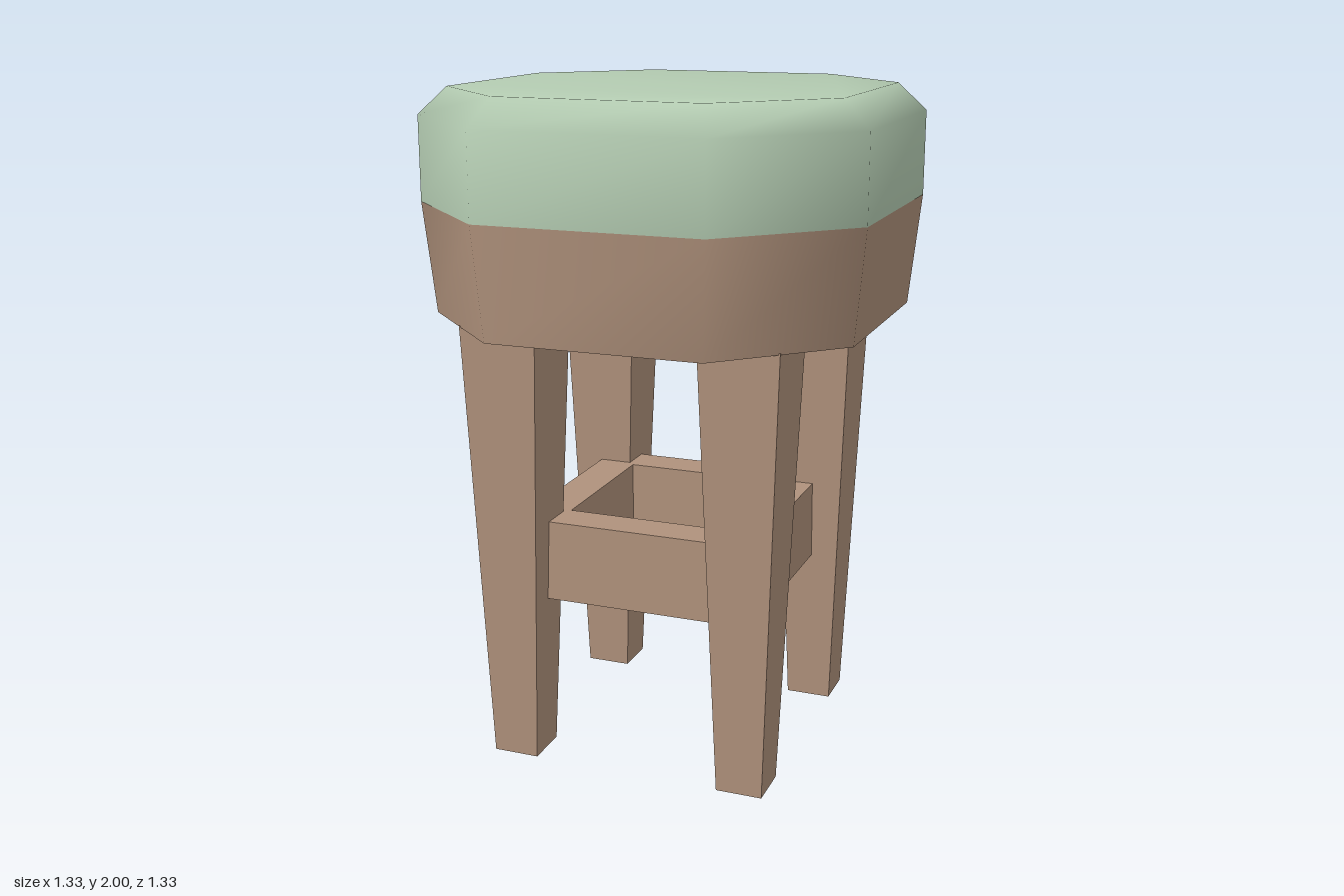
import * as THREE from 'three';

const wood = new THREE.MeshStandardMaterial({ name: 'brown wood', color: 0xb0927c });
const fabric = new THREE.MeshStandardMaterial({ name: 'sage fabric', color: 0xb4ccb2 });

// Octagonal ring: flat sides at distance r, corners offset by c along each side
const ring = (r, c, y) => [[r, c], [c, r], [-c, r], [-r, c], [-r, -c], [-c, -r], [c, -r], [r, -c]]
  .map(([x, z]) => [x, y, z]);

// Smooth-sided solid through octagonal rings listed bottom to top
function loft(rings, capTop) {
  const index = [];
  for (let k = 0; k < rings.length - 1; k++) {
    for (let i = 0; i < 8; i++) {
      const a = k * 8 + i, b = k * 8 + (i + 1) % 8;
      index.push(a, a + 8, b, b, a + 8, b + 8);
    }
  }
  if (capTop) {
    const t = (rings.length - 1) * 8;
    for (let i = 1; i < 7; i++) index.push(t, t + i + 1, t + i);
  }
  const geo = new THREE.BufferGeometry();
  geo.setAttribute('position', new THREE.Float32BufferAttribute(rings.flat(2), 3));
  geo.setIndex(index);
  geo.computeVertexNormals();
  return geo;
}

function add(group, name, geo, material) {
  const mesh = new THREE.Mesh(geo, material);
  mesh.name = name;
  group.add(mesh);
  return mesh;
}

// Square leg tapering towards the floor
function legGeometry(top, bottom, height) {
  const geo = new THREE.CylinderGeometry(top * Math.SQRT1_2, bottom * Math.SQRT1_2, height, 4, 1).toNonIndexed();
  geo.rotateY(Math.PI / 4);
  geo.computeVertexNormals();
  return geo.translate(0, height / 2, 0);
}

export function createModel() {
  const stool = new THREE.Group();
  stool.name = 'stool';

  // Padded seat with a bevelled upper rim
  add(stool, 'cushion', loft([
    ring(0.667, 0.333, 1.67), ring(0.667, 0.333, 1.92), ring(0.587, 0.3, 2),
  ], true), fabric);

  // Wooden seat base, narrowing downwards, with a flat underside
  const lower = ring(0.635, 0.317, 1.34);
  add(stool, 'seatBase', loft([lower, ring(0.667, 0.333, 1.67)], false), wood);
  const outline = new THREE.Shape(lower.map(([x, , z]) => new THREE.Vector2(x, z)));
  const underside = add(stool, 'seatUnderside', new THREE.ShapeGeometry(outline), wood);
  underside.rotation.x = Math.PI / 2;
  underside.position.y = 1.34;

  // Four legs
  const leg = legGeometry(0.237, 0.14, 1.345);
  for (const x of [-1, 1]) {
    for (const z of [-1, 1]) {
      add(stool, 'leg', leg, wood).position.set(x * 0.36, 0, z * 0.36);
    }
  }

  // Square footrest frame between the legs
  const footrest = new THREE.Group();
  footrest.name = 'footrest';
  for (const s of [-1, 1]) {
    add(footrest, 'rail', new THREE.BoxGeometry(0.61, 0.245, 0.12), wood).position.set(0, 0.62, s * 0.305);
    add(footrest, 'sideRail', new THREE.BoxGeometry(0.12, 0.245, 0.61), wood).position.set(s * 0.305, 0.62, 0);
  }
  stool.add(footrest);

  return stool;
}
